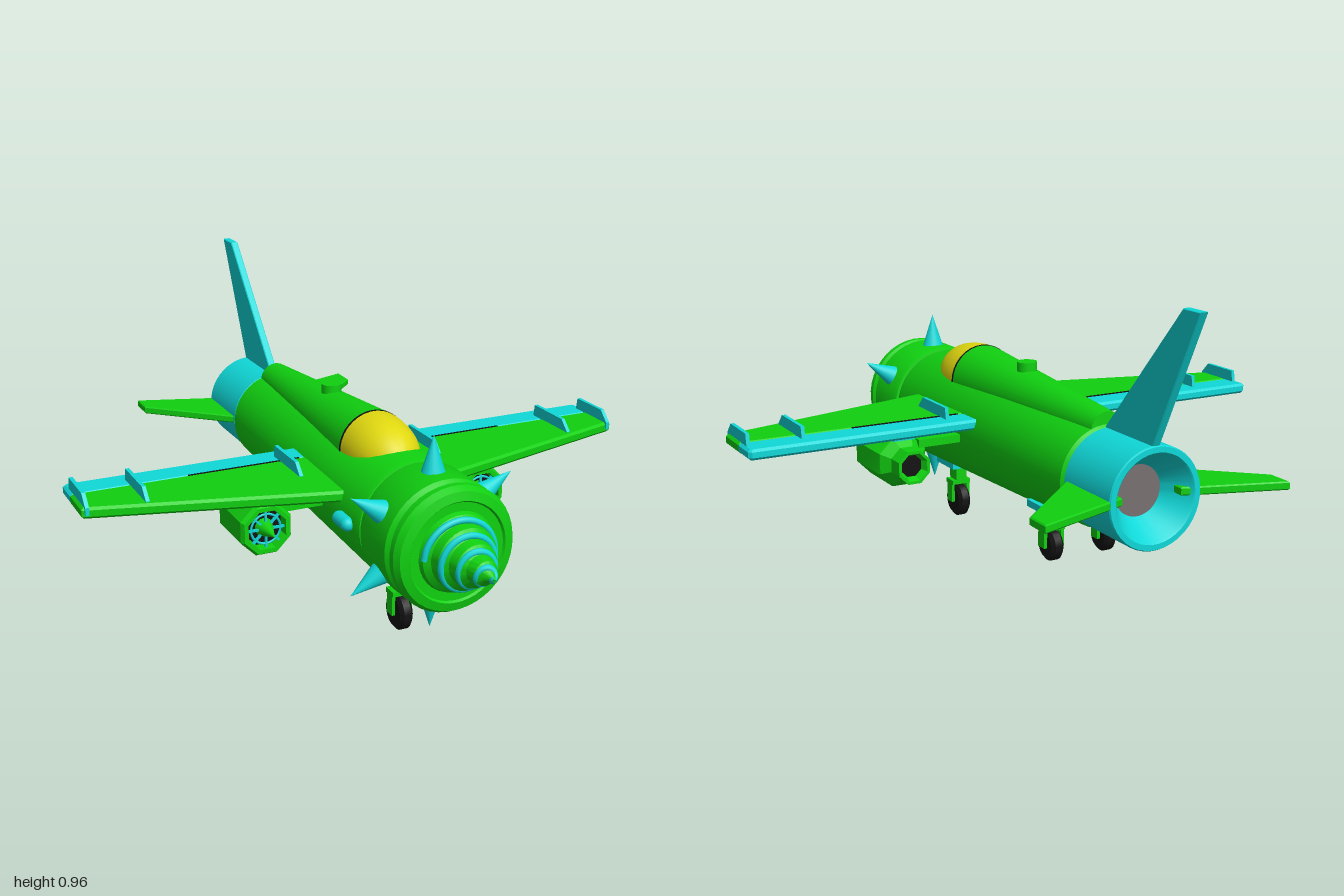
import * as THREE from 'three';
import { toCreasedNormals } from 'three/addons/utils/BufferGeometryUtils.js';

const mat = (name, color) => {
  const m = new THREE.MeshStandardMaterial({ color });
  m.name = name;
  return m;
};

export function createModel() {
  const model = new THREE.Group();
  model.name = 'drillPlane';
  const green = mat('green', 0x10d010);
  const cyan = mat('cyan', 0x10d8d8);
  const yellow = mat('yellow', 0xe0d810);
  const black = mat('black', 0x121212);
  const grey = mat('grey', 0x777070);
  const AXIS = 0.397;

  const add = (name, geo, m, x = 0, y = 0, z = 0, parent = model) => {
    const mesh = new THREE.Mesh(geo, m);
    mesh.name = name;
    mesh.position.set(x, y, z);
    parent.add(mesh);
    return mesh;
  };
  const box = (name, m, w, h, d, x, y, z, parent) =>
    add(name, new THREE.BoxGeometry(w, h, d), m, x, y, z, parent);
  // Lathe about the z axis; points are (radius, z)
  const turned = (pts, seg = 40, crease = 0.5) => {
    const g = new THREE.LatheGeometry(pts.map(p => new THREE.Vector2(...p)), seg, Math.PI / seg);
    return toCreasedNormals(g.rotateX(Math.PI / 2), crease);
  };
  const extrude = (pts, t, bevel) => new THREE.ExtrudeGeometry(
    new THREE.Shape(pts.map(p => new THREE.Vector2(...p))),
    { depth: t - 2 * bevel, bevelEnabled: bevel > 0, bevelSize: bevel, bevelThickness: bevel, bevelOffset: -bevel, bevelSegments: 1 }
  ).translate(0, 0, -t / 2 + bevel);
  // Horizontal plate from (x, z) points, upright plate from (z, y) points
  const plate = (pts, t, bevel = 0) => extrude(pts, t, bevel).rotateX(Math.PI / 2);
  const upright = (pts, t, bevel = 0) => extrude(pts, t, bevel).rotateY(-Math.PI / 2);

  // Fuselage with grooved nose barrel
  add('fuselage', turned([
    [0, -0.55], [0.15, -0.55], [0.16, -0.54], [0.192, 0.52], [0.187, 0.538], [0.178, 0.54],
    [0.178, 0.548], [0.19, 0.55], [0.195, 0.562], [0.195, 0.715], [0.184, 0.728], [0.184, 0.734],
    [0.194, 0.745], [0.194, 0.765], [0.182, 0.785], [0.155, 0.792], [0.15, 0.785], [0, 0.785],
  ]), green, 0, AXIS);

  // Drill with stepped cone and spiral thread
  add('drillCone', turned([
    [0.125, 0.78], [0.118, 0.8], [0.1, 0.815], [0.095, 0.845], [0.072, 0.865],
    [0.066, 0.895], [0.045, 0.915], [0.037, 0.945], [0.02, 0.96], [0, 0.995],
  ], 32), green, 0, AXIS);
  const spiral = [];
  for (let i = 0; i <= 90; i++) {
    const t = i / 90, a = Math.PI - t * Math.PI * 8, r = 0.114 * (1 - t);
    spiral.push(new THREE.Vector3(r * Math.cos(a), r * Math.sin(a), 0.8 + 0.19 * t));
  }
  add('drillThread', new THREE.TubeGeometry(new THREE.CatmullRomCurve3(spiral), 180, 0.01, 8), cyan, 0, AXIS);

  // Ring of spikes
  for (let i = 0; i < 6; i++) {
    const a = Math.PI / 2 + i * Math.PI / 3, r = 0.243;
    const s = add('noseSpike', new THREE.ConeGeometry(0.038, 0.12, 20), cyan,
      r * Math.cos(a), AXIS + r * Math.sin(a), 0.635);
    s.rotation.z = a - Math.PI / 2;
  }

  // Spine, canopy and hatch
  add('spine', new THREE.CylinderGeometry(0.115, 0.055, 0.785, 32).rotateX(Math.PI / 2), green, 0, 0.54, -0.1475);
  add('canopyFrame', new THREE.CylinderGeometry(0.116, 0.116, 0.008, 32).rotateX(Math.PI / 2), black, 0, 0.54, 0.248);
  const dome = [];
  for (let i = 0; i <= 16; i++) {
    const t = Math.sin(i / 16 * Math.PI / 2);
    dome.push([0.115 * Math.sqrt(Math.max(0, 1 - t ** 2.5)), 0.25 + 0.21 * t]);
  }
  add('canopy', turned(dome, 32, 1), yellow, 0, 0.54);
  add('spineHatch', new THREE.CylinderGeometry(0.033, 0.033, 0.04, 20), green, 0, 0.636, -0.06);

  // Tail section with hollow exhaust, and fin
  add('tailPipe', turned([
    [0.075, -0.7], [0.13, -0.795], [0.135, -0.8], [0.152, -0.8], [0.155, -0.795], [0.155, -0.555], [0.15, -0.55], [0, -0.55],
  ]), cyan, 0, AXIS);
  add('exhaustDisc', new THREE.CircleGeometry(0.08, 32).rotateY(Math.PI), grey, 0, AXIS, -0.705);
  add('tailFin', upright([[-0.55, 0.53], [-0.55, 0.555], [-0.92, 0.96], [-1, 0.96], [-0.795, 0.55], [-0.795, 0.53]], 0.026, 0.003), cyan);

  const wheel = (name, x, y, z, r, top) => {
    const g = new THREE.Group();
    g.name = name;
    g.position.set(x, y, z);
    model.add(g);
    add('tyre', turned([[0, -0.022], [r - 0.012, -0.022], [r, -0.012], [r, 0.012], [r - 0.012, 0.022], [0, 0.022]], 24)
      .rotateY(Math.PI / 2), black, 0, 0, 0, g);
    const h = top - y - r;
    box('strut', green, 0.04, h, 0.05, 0, r + h / 2, 0, g);
    box('forkBridge', green, 0.07, 0.016, 0.05, 0, r + 0.008, 0, g);
    for (const s of [-1, 1]) box('forkArm', green, 0.011, r + 0.01, 0.036, s * 0.0295, r / 2, 0, g);
  };
  wheel('noseWheel', 0, 0.06, 0.44, 0.06, 0.22);
  box('noseGearPlate', cyan, 0.1, 0.024, 0.13, 0, 0.2, 0.445);

  for (const s of [-1, 1]) {
    const mir = pts => pts.map(([x, z]) => [s * x, z]);

    // Wing, flap and fences
    add('wing', plate(mir([[0.1, 0.08], [0.1, 0.425], [0.18, 0.405], [0.92, 0.205], [0.92, 0.08]]), 0.036, 0.008), green, 0, 0.455);
    add('wingFlap', plate(mir([[0.14, -0.015], [0.14, 0.085], [0.92, 0.085], [0.92, -0.005], [0.91, -0.015]]), 0.034, 0.008), cyan, 0, 0.455);
    box('flapGap', black, 0.37, 0.0375, 0.008, s * 0.365, 0.455, 0.083);
    for (const [x, z] of [[0.24, 0.24], [0.73, 0.24], [0.905, 0.215]])
      add('wingFence', upright([[0.03, 0.45], [0.04, 0.51], [z - 0.035, 0.51], [z, 0.475], [z, 0.45]], 0.012), cyan, s * x);

    // Tailplane
    add('tailplane', plate(mir([[0.1, -0.515], [0.15, -0.56], [0.41, -0.8], [0.41, -0.885], [0.15, -0.798], [0.1, -0.78]]), 0.026, 0.004), green, 0, 0.398);

    // Side intake blister
    add('sideBlister', new THREE.CapsuleGeometry(0.022, 0.055, 6, 16).rotateX(Math.PI / 2), cyan, s * 0.198, 0.4, 0.452);

    // Underwing engine
    const e = new THREE.Group();
    e.name = 'engine';
    e.position.set(s * 0.375, 0.338, 0);
    model.add(e);
    add('engineShell', turned([
      [0.035, 0.03], [0.048, 0], [0.058, 0], [0.058, 0.06], [0.086, 0.09], [0.089, 0.1], [0.089, 0.275],
      [0.08, 0.29], [0.066, 0.29], [0.062, 0.25],
    ], 8, 0.4), green, 0, 0, 0, e);
    add('engineDark', new THREE.CircleGeometry(0.066, 24), black, 0, 0, 0.253, e);
    add('nozzleDark', new THREE.CircleGeometry(0.045, 24).rotateY(Math.PI), black, 0, 0, 0.025, e);
    add('engineSpinner', new THREE.ConeGeometry(0.03, 0.09, 16).rotateX(Math.PI / 2), green, 0, 0, 0.305, e);
    add('grilleRing', new THREE.TorusGeometry(0.048, 0.004, 6, 24), cyan, 0, 0, 0.275, e);
    for (let i = 0; i < 8; i++) {
      const a = i * Math.PI / 4;
      box('grilleSpoke', cyan, 0.05, 0.007, 0.008, 0.045 * Math.cos(a), 0.045 * Math.sin(a), 0.275, e).rotation.z = a;
    }
    box('enginePylon', cyan, 0.075, 0.04, 0.17, 0, 0.092, 0.16, e);
    box('engineStrut', green, 0.18, 0.026, 0.2, -s * 0.14, 0.055, 0.17, e);

    // Main gear
    wheel('mainWheel', s * 0.095, 0.152, -0.38, 0.05, 0.28);
    box('mainGearPlate', cyan, 0.075, 0.022, 0.11, s * 0.095, 0.268, -0.35);
  }
  return model;
}
